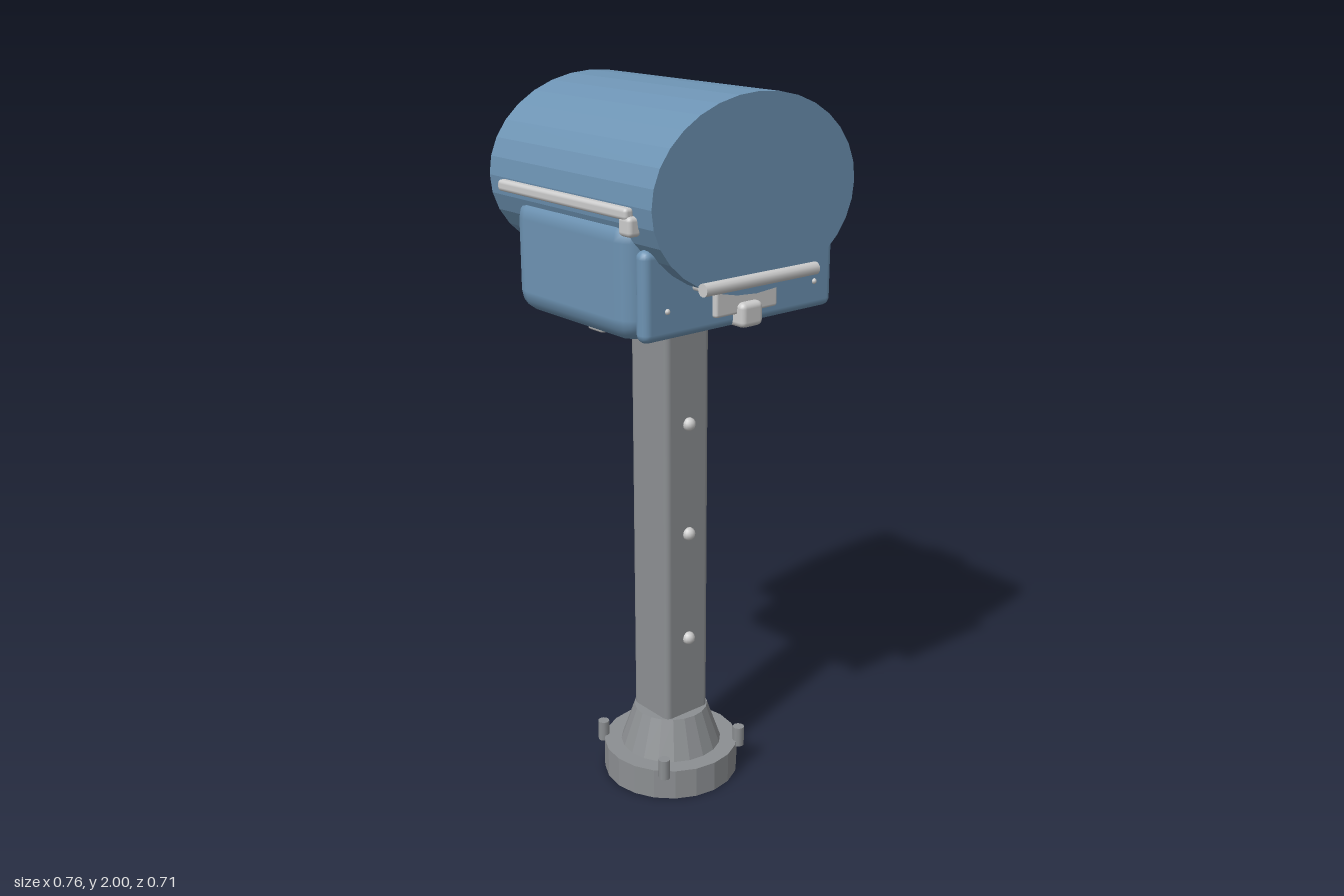
import * as THREE from 'three';
import { RoundedBoxGeometry } from 'three/addons/geometries/RoundedBoxGeometry.js';

const CX = -0.025, CZ = -0.017; // axis of the post and box

const mat = (color, flatShading = false) => {
  const m = new THREE.MeshStandardMaterial({ color });
  m.flatShading = flatShading;
  return m;
};
const blue = mat(0x6d93b3), blueFlat = mat(0x6d93b3, true), red = mat(0xd9564f);
const steel = mat(0xcccccc), dark = mat(0x8c8f92), darkFlat = mat(0x8c8f92, true);

export function createModel() {
  const model = new THREE.Group();

  const add = (name, geometry, material, x, y, z) => {
    const mesh = new THREE.Mesh(geometry, material);
    mesh.name = name;
    mesh.position.set(x, y, z);
    model.add(mesh);
    return mesh;
  };
  // Rounded block given by its min and max on each axis
  const block = (name, material, [x0, x1], [y0, y1], [z0, z1], r) =>
    add(name, new RoundedBoxGeometry(x1 - x0, y1 - y0, z1 - z0, 2, r), material,
      (x0 + x1) / 2, (y0 + y1) / 2, (z0 + z1) / 2);
  const rod = (name, material, r, length, x, y, z, axis = 'y', sides = 12) => {
    const g = new THREE.CylinderGeometry(r, r, length, sides);
    if (axis === 'x') g.rotateZ(Math.PI / 2);
    if (axis === 'z') g.rotateX(Math.PI / 2);
    return add(name, g, material, x, y, z);
  };

  // Base: round foot, tapered collar and four bolts on the rim
  rod('baseFoot', darkFlat, 0.197, 0.09, CX, 0.045, CZ, 'y', 20);
  add('baseCollar', new THREE.CylinderGeometry(0.107, 0.147, 0.115, 20), darkFlat, CX, 0.1475, CZ);
  for (const sx of [-1, 1])
    for (const sz of [-1, 1])
      rod('baseBolt', dark, 0.017, 0.06, CX + sx * 0.142, 0.103, CZ + sz * 0.142, 'y', 10);

  // Post with a column of round screw heads on the front
  block('post', dark, [-0.103, 0.053], [0.15, 1.39], [-0.095, 0.061], 0.018);
  for (const y of [0.447, 0.77, 1.093])
    add('postScrew', new THREE.SphereGeometry(0.019, 12, 8), steel, CX, y, 0.063);

  // Box under the drum, with its front door plate
  block('boxBody', blue, [-0.36, 0.31], [1.405, 1.715], [-0.265, 0.233], 0.06);
  block('doorPlate', blue, [-0.345, 0.295], [1.415, 1.645], [0.228, 0.275], 0.022);
  for (const x of [-0.275, 0.225])
    add('doorScrew', new THREE.SphereGeometry(0.008, 8, 6), steel, x, 1.49, 0.274);

  // Oval drum lying front to back
  const drum = rod('drum', blueFlat, 1, 0.675, -0.0225, 1.7525, CZ, 'z', 32);
  drum.scale.set(0.337, 0.2475, 1);

  // Latch and pull bar on the front
  block('latchPlate', steel, [-0.13, 0.08], [1.45, 1.535], [0.265, 0.29], 0.008);
  block('latchCatch', steel, [-0.06, 0.013], [1.415, 1.48], [0.22, 0.312], 0.015);
  rod('pullBar', steel, 0.017, 0.382, CX, 1.545, 0.337, 'x');
  for (const x of [-0.185, 0.14])
    rod('pullBarStandoff', steel, 0.011, 0.075, x, 1.54, 0.3, 'z', 10);

  // Side rails with a bracket near the front
  for (const s of [-1, 1]) {
    const x = -0.0225 + s * 0.345;
    block('sideRail', steel, [x - 0.014, x + 0.014], [1.72, 1.75], [-0.29, 0.25], 0.01);
    block('railBracket', steel, [x - 0.022 - s * 0.01, x + 0.018 - s * 0.01],
      [1.68, 1.73], [0.215, 0.262], 0.012);
  }

  // Signal flag on the left side
  block('flagStem', red, [0.338, 0.379], [1.517, 1.79], [-0.037, 0.003], 0.009);
  block('flagPanel', red, [0.342, 0.375], [1.69, 1.787], [-0.17, -0.02], 0.01);

  // Mounting nuts in an arc under the box, behind the post
  for (const [x, z] of [[-0.177, -0.108], [-0.087, -0.185], [0.035, -0.185], [0.13, -0.108]])
    block('mountNut', steel, [x - 0.034, x + 0.034], [1.35, 1.396], [z - 0.034, z + 0.034], 0.01);
  // Neck joining post and box
  block('postCap', dark, [-0.08, 0.03], [1.37, 1.43], [-0.07, 0.04], 0.01);

  return model;
}
